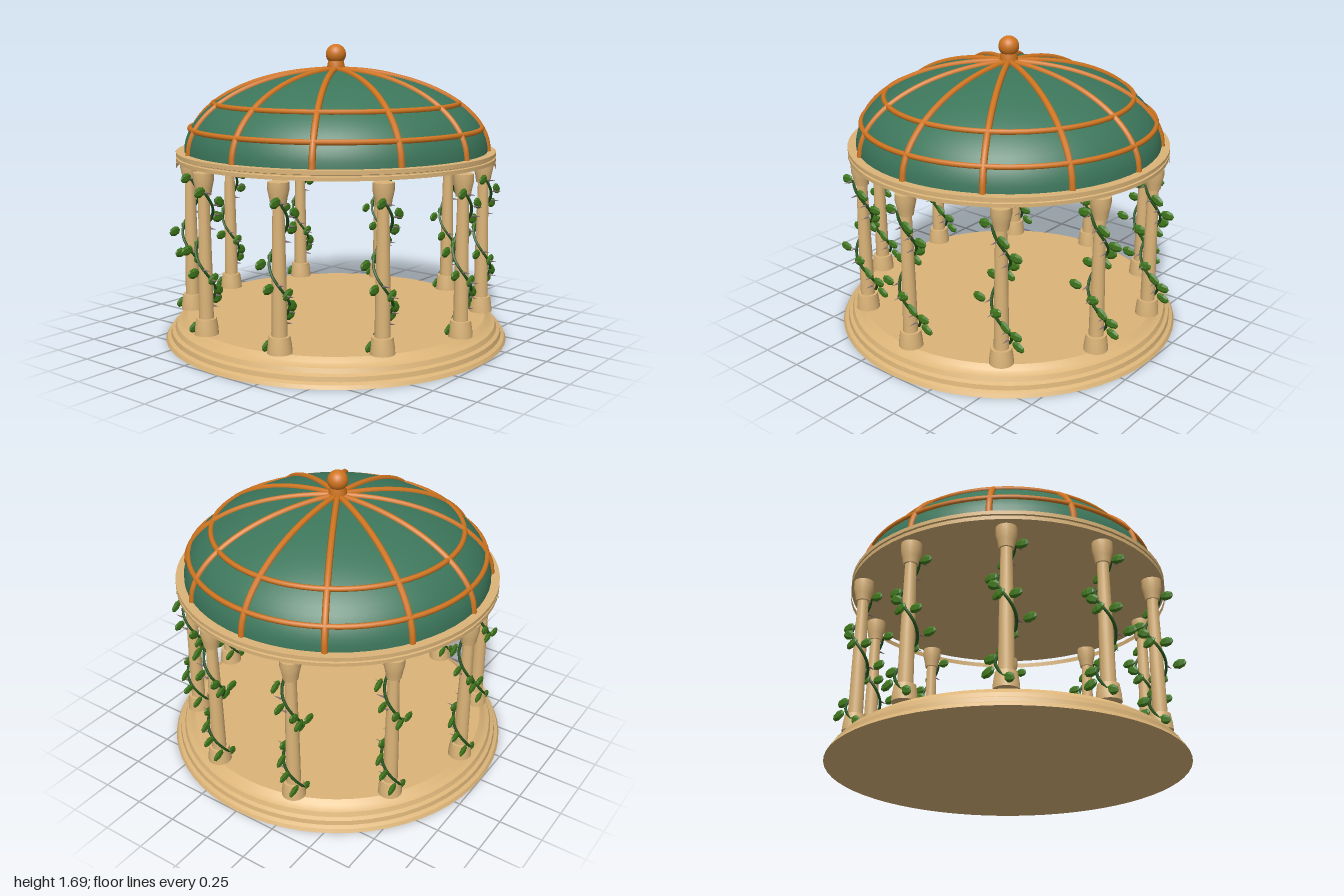
import * as THREE from 'three';
import { mergeGeometries, toCreasedNormals } from 'three/addons/utils/BufferGeometryUtils.js';

const material = (name, color) => {
  const m = new THREE.MeshStandardMaterial({ color });
  m.name = name;
  return m;
};

// Revolve a bottom-to-top profile of [radius, height] pairs, keeping sharp edges
const turned = (profile, segments = 64) => {
  const g = new THREE.LatheGeometry(profile.map(([r, y]) => new THREE.Vector2(r, y)), segments);
  return toCreasedNormals(g, 0.6);
};

export function createModel() {
  const model = new THREE.Group();
  model.name = 'gazebo';
  const stone = material('sandstone', 0xdbb478);
  const green = material('dome green', 0x3c765b);
  const copper = material('copper', 0xd07520);
  const stemGreen = material('stem green', 0x24521c);
  const leafGreen = material('leaf green', 0x40781c);
  const thornGrey = material('thorn grey', 0x8a767c);

  const add = (name, geometry, mat, parent = model) => {
    const mesh = new THREE.Mesh(geometry, mat);
    mesh.name = name;
    parent.add(mesh);
    return mesh;
  };

  // Stepped round platform
  add('platform', turned([
    [0, 0], [1, 0], [0.99, 0.02], [0.97, 0.03], [0.965, 0.055], [0.945, 0.065],
    [0.935, 0.09], [0.91, 0.1], [0.9, 0.11], [0.875, 0.13], [0, 0.13],
  ]), stone);

  // Ring beam with a closed ceiling, and the inward-facing band below it
  add('ringBeam', turned([
    [0, 1.04], [0.918, 1.04], [0.918, 1.06], [0.908, 1.063], [0.908, 1.068],
    [0.918, 1.071], [0.918, 1.092], [0.8, 1.092],
  ]), stone);
  add('innerBand', turned([[0.918, 1.02], [0.918, 0.992]]), stone);

  // Elliptical dome
  const R = 0.87, H = 0.455, Y = 1.09;
  const arc = (i, n) => {
    const a = (i / n) * Math.PI / 2;
    return [R * Math.cos(a), Y + H * Math.sin(a)];
  };
  add('dome', turned(Array.from({ length: 21 }, (_, i) => arc(i, 20))), green);

  // Twelve ribs and two hoops over the dome
  const ribPath = new THREE.CatmullRomCurve3(
    Array.from({ length: 13 }, (_, i) => new THREE.Vector3(...arc(i, 12), 0)));
  const ribGeometry = new THREE.TubeGeometry(ribPath, 32, 0.018, 8);
  for (let i = 0; i < 12; i++) {
    add('rib', ribGeometry, copper).rotation.y = i * Math.PI / 6;
  }
  for (const y of [1.222, 1.36]) {
    const r = R * Math.sqrt(1 - ((y - Y) / H) ** 2);
    const hoop = add('hoop', new THREE.TorusGeometry(r + 0.003, 0.015, 8, 72), copper);
    hoop.rotation.x = Math.PI / 2;
    hoop.position.y = y;
  }

  // Finial
  add('finialCollar', turned([
    [0, 1.53], [0.05, 1.53], [0.052, 1.56], [0.045, 1.595], [0, 1.6],
  ], 24), copper);
  add('finialBall', new THREE.SphereGeometry(0.058, 24, 16), copper).position.y = 1.634;

  // Column pieces
  const shaft = turned([[0.041, 0.2], [0.038, 0.5], [0.03, 0.92]], 20);
  const base = turned([[0, 0.13], [0.067, 0.13], [0.064, 0.17], [0.056, 0.22], [0, 0.22]], 20);
  const capital = turned([
    [0, 0.9], [0.04, 0.9], [0.047, 0.94], [0.056, 0.98], [0.056, 1.022], [0, 1.022],
  ], 20);

  // Vine winding round the shaft
  const vinePoint = (y, r) => {
    const a = (0.76 - y) / 0.44 * Math.PI * 2;
    return new THREE.Vector3(r * Math.cos(a), y, -r * Math.sin(a));
  };
  const vinePath = new THREE.CatmullRomCurve3(
    Array.from({ length: 25 }, (_, i) => vinePoint(0.18 + i * 0.031, 0.055 - i * 0.0004)));
  const stem = new THREE.TubeGeometry(vinePath, 72, 0.008, 6);

  // Faceted leaves: [height, sideways offset, tilt]
  const leaf = (y, x, tilt) => {
    const g = new THREE.SphereGeometry(1, 6, 4);
    g.rotateZ(Math.PI / 2);
    g.scale(0.042, 0.029, 0.012);
    g.rotateZ(tilt);
    g.translate(x, y, vinePoint(y, 0.055).z);
    const flat = g.toNonIndexed();
    flat.computeVertexNormals();
    return flat;
  };
  const leaves = mergeGeometries([
    [0.925, -0.07, 0.2], [0.86, 0.06, -0.5], [0.765, 0.1, 0], [0.69, 0.045, 0.5],
    [0.625, 0.01, -0.4], [0.605, -0.09, 0.1], [0.495, -0.12, 0], [0.445, 0.005, 0.4],
    [0.375, 0.055, -0.6], [0.31, 0.09, 0], [0.22, 0.07, -0.3], [0.17, -0.045, 0.3],
  ].map((l) => leaf(...l)));

  // Small thorns pointing forward
  const thorns = mergeGeometries([0.92, 0.85, 0.79, 0.71, 0.5, 0.44, 0.34, 0.28].map((y) => {
    const g = new THREE.ConeGeometry(0.006, 0.05, 5);
    g.rotateX(Math.PI / 2);
    const p = vinePoint(y, 0.055);
    return g.translate(p.x, y, Math.max(p.z, 0) + 0.03);
  }));

  // Ten columns in a circle, each with the same vine
  for (let i = 0; i < 10; i++) {
    const a = i * Math.PI / 5;
    const column = new THREE.Group();
    column.name = 'column';
    column.position.set(0.855 * Math.sin(a), 0, 0.855 * Math.cos(a));
    add('columnShaft', shaft, stone, column);
    add('columnBase', base, stone, column);
    add('columnCapital', capital, stone, column);
    add('vineStem', stem, stemGreen, column);
    add('vineLeaves', leaves, leafGreen, column);
    add('vineThorns', thorns, thornGrey, column);
    model.add(column);
  }
  return model;
}
